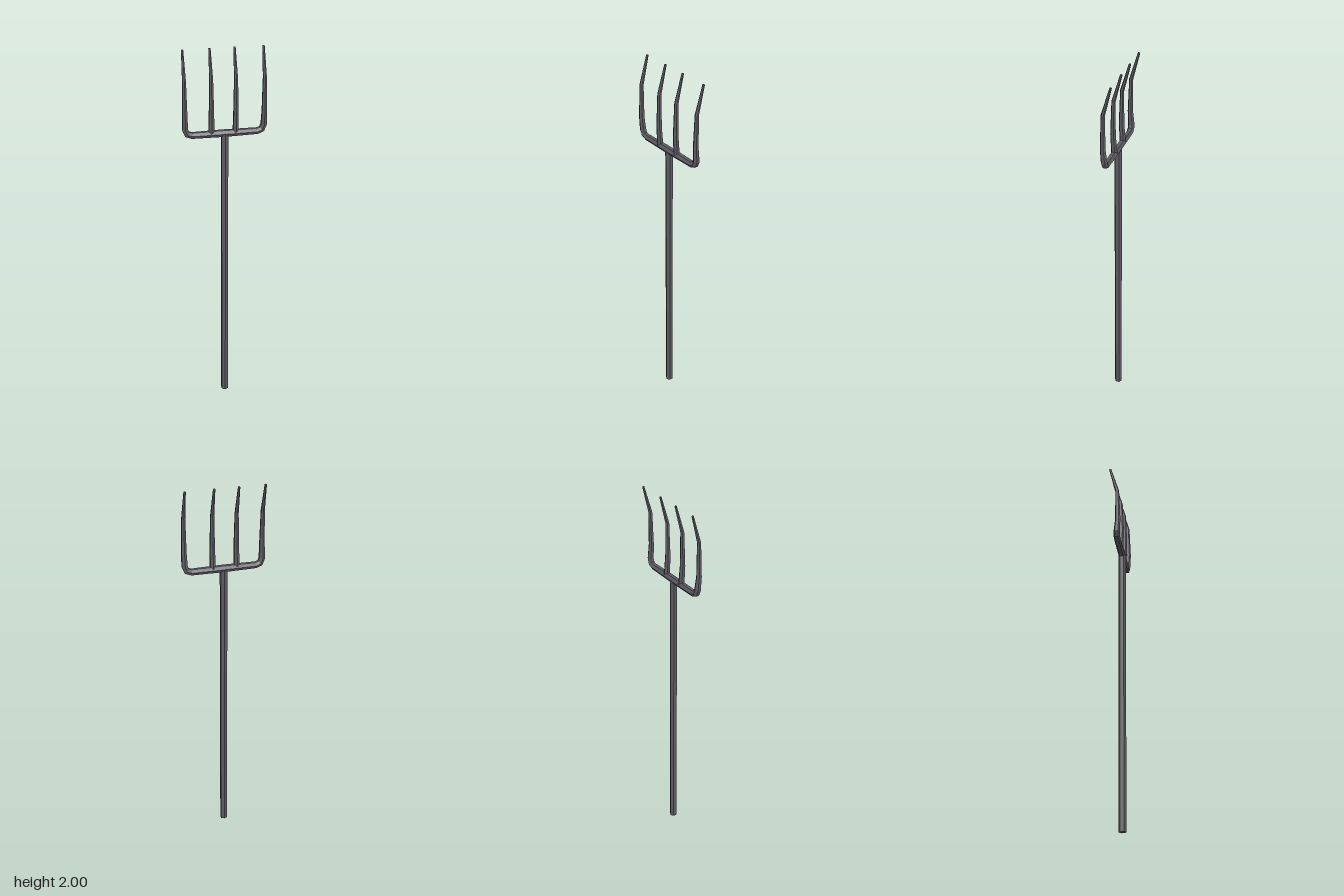
import * as THREE from 'three';

const material = new THREE.MeshStandardMaterial({ color: 0x5e5c63, flatShading: true });

// Tapering six-sided rod swept along stations [x, y, z, radius], capped at both ends.
function rod(name, stations, sides = 6) {
  const points = stations.map(([x, y, z]) => new THREE.Vector3(x, y, z));
  const last = points.length - 1;
  const positions = [];
  const index = [];
  const zAxis = new THREE.Vector3(0, 0, 1);
  points.forEach((p, i) => {
    const tangent = new THREE.Vector3();
    if (i > 0) tangent.add(p.clone().sub(points[i - 1]).normalize());
    if (i < last) tangent.add(points[i + 1].clone().sub(p).normalize());
    tangent.normalize();
    const side = tangent.clone().cross(zAxis).normalize();
    const front = side.clone().cross(tangent);
    for (let j = 0; j < sides; j++) {
      const a = (j / sides) * Math.PI * 2;
      const r = stations[i][3];
      const v = p.clone().addScaledVector(front, r * Math.cos(a)).addScaledVector(side, r * Math.sin(a));
      positions.push(v.x, v.y, v.z);
    }
  });
  for (let i = 0; i < last; i++) {
    for (let j = 0; j < sides; j++) {
      const k = (j + 1) % sides;
      const a = i * sides + j, b = i * sides + k;
      index.push(a, b, b + sides, a, b + sides, a + sides);
    }
  }
  for (let j = 1; j < sides - 1; j++) {
    const e = last * sides;
    index.push(0, j + 1, j, e, e + j, e + j + 1);
  }
  const geometry = new THREE.BufferGeometry();
  geometry.setAttribute('position', new THREE.Float32BufferAttribute(positions, 3));
  geometry.setIndex(index);
  geometry.computeVertexNormals();
  const mesh = new THREE.Mesh(geometry, material);
  mesh.name = name;
  return mesh;
}

// Shared tine curve: bows forward, then kinks back towards the tip.
const tine = (x) => [
  [x, 1.67, 0.016, 0.0145],
  [x, 1.85, 0.013, 0.0105],
  [x, 1.998, -0.027, 0.006],
];

export function createModel() {
  const group = new THREE.Group();
  group.name = 'pitchfork';

  // Straight six-sided shaft
  const handle = new THREE.Mesh(new THREE.CylinderGeometry(0.02, 0.02, 1.565, 6), material);
  handle.name = 'handle';
  handle.position.set(0, 1.565 / 2, 0.01);
  group.add(handle);

  // Crossbar bent up at both ends into the outer tines
  const half = (s) => [
    [s * 0.168, 1.564, 0.009, 0.0175],
    [s * 0.192, 1.573, 0.009, 0.0175],
    [s * 0.202, 1.598, 0.01, 0.017],
    ...tine(s * 0.203),
  ];
  group.add(rod('crossbarAndOuterTines', [
    ...half(-1).reverse(),
    [0, 1.564, 0.009, 0.0195],
    ...half(1),
  ]));

  // Inner tines
  for (const x of [-0.068, 0.057]) {
    group.add(rod('innerTine', [[x, 1.562, 0.009, 0.0165], ...tine(x)]));
  }
  return group;
}
